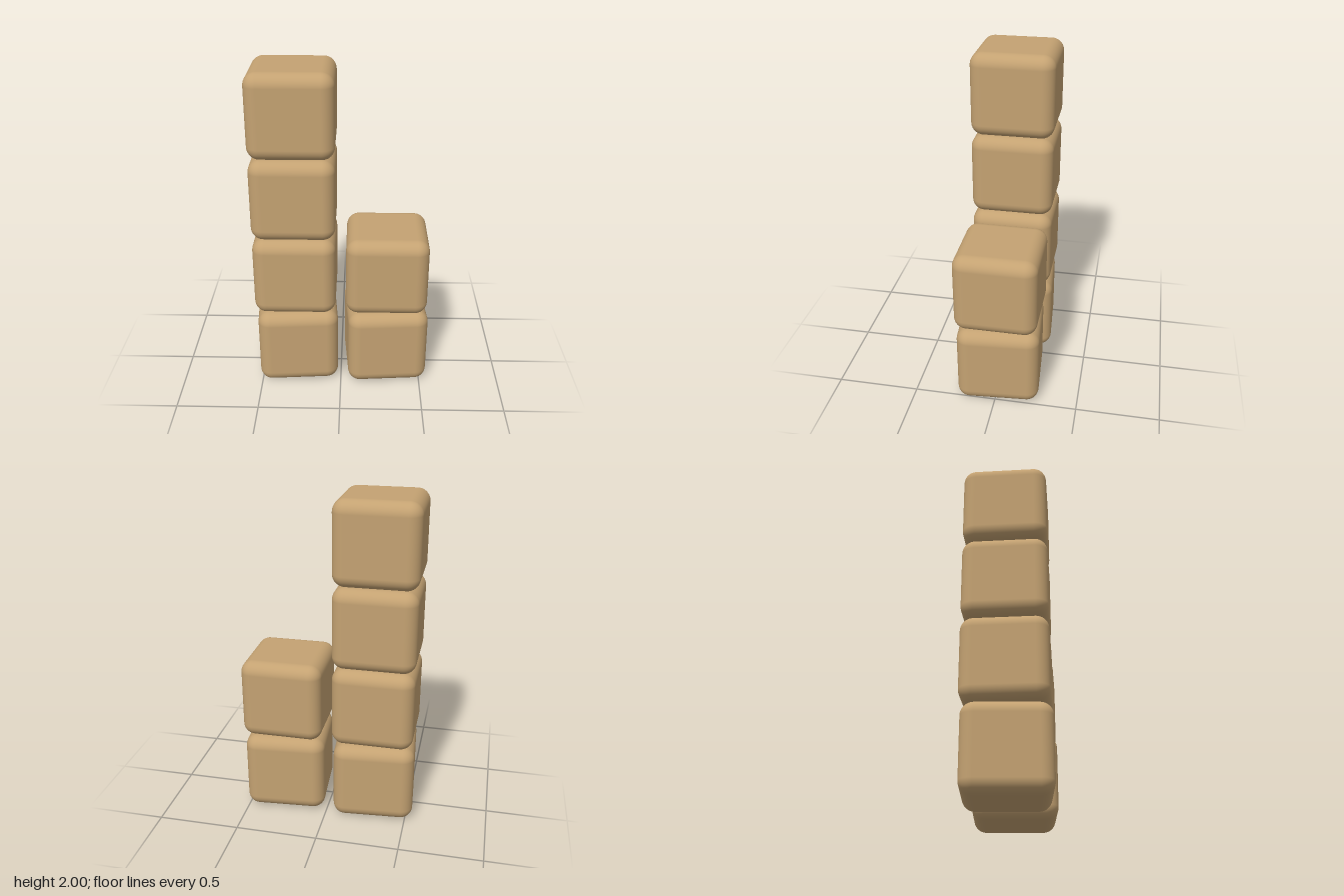
import * as THREE from 'three';
import { RoundedBoxGeometry } from 'three/addons/geometries/RoundedBoxGeometry.js';

const SIZE = 0.497;    // edge length of one block
const PITCH = 0.501;   // height step from block to block
const TWIST = 0.08;    // turn of the bottom blocks

export function createModel() {
  const model = new THREE.Group();
  model.name = 'stackedBlocks';

  const tan = new THREE.MeshStandardMaterial({ color: 0xc4a272 });
  tan.name = 'tan';
  const block = new RoundedBoxGeometry(SIZE, SIZE, SIZE, 6, 0.075);

  // a column of soft-edged blocks, the lowest one slightly turned
  function addStack(name, x, count) {
    const stack = new THREE.Group();
    stack.name = name;
    stack.position.x = x;
    for (let i = 0; i < count; i++) {
      const mesh = new THREE.Mesh(block, tan);
      mesh.name = `${name}Block${i + 1}`;
      mesh.position.y = SIZE / 2 + i * PITCH;
      if (i === 0) mesh.rotation.y = TWIST;
      stack.add(mesh);
    }
    model.add(stack);
  }

  addStack('tallStack', -0.28, 4);
  addStack('shortStack', 0.28, 2);
  return model;
}
